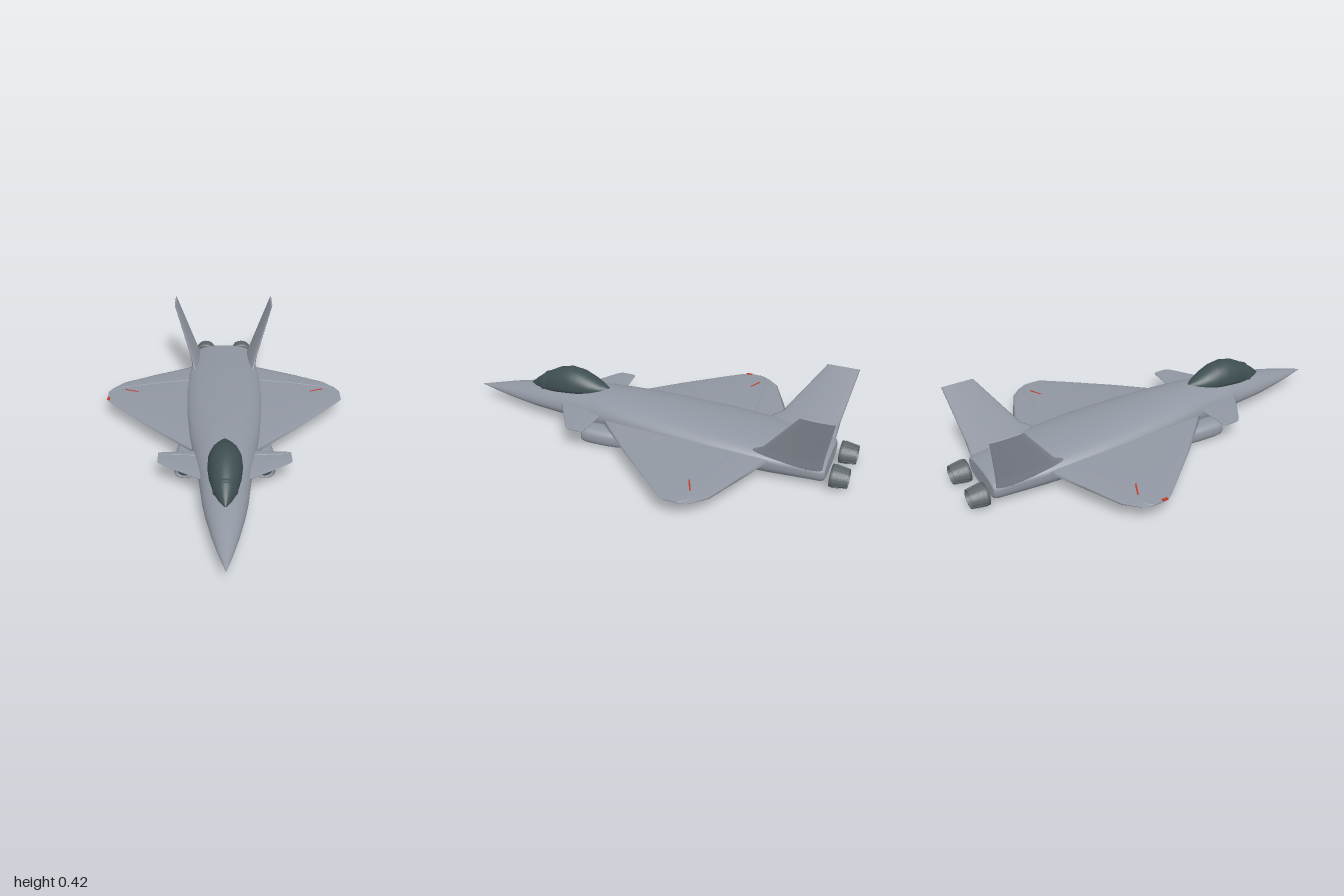
import * as THREE from 'three';

const paint = (name, color, side = THREE.FrontSide) => {
  const m = new THREE.MeshStandardMaterial({ color, side });
  m.name = name;
  return m;
};
const grey = paint('hull grey', 0x9197a2);
const glass = paint('canopy glass', 0x3f4f53);
const metal = paint('nozzle metal', 0x60686d, THREE.DoubleSide);
const red = paint('signal red', 0xc0392b);

const lerp = THREE.MathUtils.lerp;
const V = (x, y, z) => new THREE.Vector3(x, y, z);

function toGeometry(pos, idx) {
  const g = new THREE.BufferGeometry();
  g.setAttribute('position', new THREE.Float32BufferAttribute(pos, 3));
  g.setIndex(idx);
  g.computeVertexNormals();
  return g;
}

// Skin over closed rings of equal length, with flat end caps
function loft(rings, flip = false) {
  const n = rings[0].length, pos = [], idx = [];
  const tri = (a, b, c) => (flip ? idx.push(a, c, b) : idx.push(a, b, c));
  rings.forEach(r => r.forEach(p => pos.push(p.x, p.y, p.z)));
  for (let i = 0; i < rings.length - 1; i++) {
    for (let j = 0; j < n; j++) {
      const a = i * n + j, b = i * n + (j + 1) % n;
      tri(a, a + n, b);
      tri(b, a + n, b + n);
    }
  }
  [rings[0], rings[rings.length - 1]].forEach((r, end) => {
    const base = pos.length / 3, c = V(0, 0, 0);
    r.forEach(p => { pos.push(p.x, p.y, p.z); c.addScaledVector(p, 1 / n); });
    pos.push(c.x, c.y, c.z);
    for (let j = 0; j < n; j++) {
      const a = base + j, b = base + (j + 1) % n;
      end ? tri(base + n, b, a) : tri(base + n, a, b);
    }
  });
  return toGeometry(pos, idx);
}

// Superellipse ring facing along z, with separate top and bottom heights
function ring(z, cx, w, waist, top, bottom, eTop = 2, eLow = 2, n = 40) {
  return Array.from({ length: n }, (_, j) => {
    const a = (j / n) * Math.PI * 2, c = Math.cos(a), s = Math.sin(a);
    const k = 2 / (s >= 0 ? eTop : eLow);
    const h = s >= 0 ? top - waist : waist - bottom;
    return V(cx + w * Math.sign(c) * Math.abs(c) ** k, waist + h * Math.sign(s) * Math.abs(s) ** k, z);
  });
}

// Flying surface: stations are [x, y, zFront, zBack, halfThickness]; face picks the hinged side
function surface(name, stations, normal, side, face) {
  const group = new THREE.Group();
  group.name = name;
  const point = (s, a, lift = 0) => {
    const [x, y, zf, zb, t] = s, o = t * Math.sin(a) + Math.sign(Math.sin(a)) * lift;
    return V(side * (x + normal[0] * o), y + normal[1] * o, (zf + zb) / 2 + (zf - zb) / 2 * Math.cos(a));
  };
  const rings = stations.map(s => Array.from({ length: 20 }, (_, j) => point(s, j / 20 * Math.PI * 2)));
  add(group, name + 'Skin', loft(rings, side < 0), grey);

  // Hinge ridge of the control surface
  const pos = [], idx = [];
  stations.forEach((s, i) => {
    for (const d of [-0.004, 0, 0.004]) {
      const f = 0.79 + d / (s[2] - s[3]);
      pos.push(...point(s, face * Math.acos(1 - 2 * f), d ? 0 : 0.003).toArray());
    }
    for (const k of i ? [3 * i, 3 * i + 1] : []) {
      const [a, b, c, d] = [k - 3, k - 2, k, k + 1];
      side * face > 0 ? idx.push(a, c, b, c, d, b) : idx.push(a, b, c, c, b, d);
    }
  });
  add(group, name + 'Hinge', toGeometry(pos, idx), grey);
  return group;
}

function add(parent, name, geometry, material, x = 0, y = 0, z = 0) {
  const m = new THREE.Mesh(geometry, material);
  m.name = name;
  m.position.set(x, y, z);
  parent.add(m);
  return m;
}

export function createModel() {
  const jet = new THREE.Group();
  jet.name = 'jet';

  // Fuselage: [z, halfWidth, waist, top, bottom]
  const body = [
    [1, 0.001, 0.075, 0.076, 0.074], [0.9, 0.033, 0.08, 0.101, 0.066], [0.8, 0.06, 0.085, 0.127, 0.057],
    [0.68, 0.087, 0.09, 0.153, 0.048], [0.6, 0.101, 0.094, 0.167, 0.043], [0.45, 0.118, 0.1, 0.188, 0.036],
    [0.25, 0.148, 0.108, 0.207, 0.025], [0.1, 0.171, 0.112, 0.205, 0.012], [-0.1, 0.19, 0.116, 0.198, 0.006],
    [-0.35, 0.2, 0.115, 0.184, 0.004], [-0.55, 0.196, 0.108, 0.168, 0.005], [-0.65, 0.187, 0.1, 0.152, 0.006],
    [-0.78, 0.169, 0.09, 0.136, 0.008], [-0.875, 0.157, 0.08, 0.128, 0.011], [-0.89, 0.152, 0.078, 0.125, 0.016],
    [-0.896, 0.142, 0.075, 0.118, 0.025],
  ];
  add(jet, 'fuselage', loft(body.map(([z, w, m, t, b]) => {
    const aft = THREE.MathUtils.clamp((0.45 - z) / 0.5, 0, 1);
    const tail = THREE.MathUtils.clamp((-0.5 - z) / 0.3, 0, 1);
    return ring(z, 0, w, m, t, b, lerp(2, 2.5, tail), lerp(2, 2.7, aft));
  })), grey);

  // Canopy: [z, halfWidth, waist, top], with a stepped windshield edge
  const dome = [
    [0.685, 0.006, 0.146, 0.156], [0.65, 0.029, 0.153, 0.188], [0.6, 0.052, 0.162, 0.227], [0.52, 0.073, 0.18, 0.27],
    [0.455, 0.08, 0.19, 0.286], [0.39, 0.077, 0.195, 0.277], [0.33, 0.062, 0.197, 0.252], [0.28, 0.041, 0.197, 0.227],
    [0.24, 0.012, 0.197, 0.208],
  ];
  add(jet, 'canopy', loft(dome.map(([z, w, m, t]) => ring(z, 0, w, m, t, m - 0.04))), glass);
  add(jet, 'windshieldEdge', loft([
    ring(0.605, 0, 0.051, 0.162, 0.226, 0.12), ring(0.604, 0, 0.0535, 0.162, 0.2285, 0.12),
    ring(0.596, 0, 0.056, 0.164, 0.2315, 0.12), ring(0.585, 0, 0.056, 0.165, 0.233, 0.12),
  ]), glass);

  for (const side of [1, -1]) {
    const label = side > 0 ? 'left' : 'right';

    // Wing, canard and canted tail fin
    jet.add(surface(label + 'Wing', [
      [0.12, 0.11, 0.24, -0.66, 0.021], [0.2, 0.11, 0.165, -0.64, 0.019], [0.37, 0.107, -0.01, -0.568, 0.013],
      [0.545, 0.102, -0.205, -0.487, 0.007], [0.6, 0.1, -0.268, -0.43, 0.005], [0.622, 0.1, -0.3, -0.39, 0.003],
    ], [0, 1], side, 1));
    jet.add(surface(label + 'Canard', [
      [0.08, 0.128, 0.475, 0.215, 0.009], [0.13, 0.128, 0.445, 0.222, 0.008],
      [0.295, 0.128, 0.338, 0.235, 0.005], [0.315, 0.128, 0.318, 0.24, 0.003],
    ], [0, 1], side, 1));
    jet.add(surface(label + 'TailFin', [
      [0.147, 0.1, -0.54, -0.885, 0.02], [0.166, 0.15, -0.565, -0.89, 0.017],
      [0.176, 0.178, -0.612, -0.893, 0.014], [0.272, 0.42, -0.785, -0.937, 0.005],
    ], [-0.93, 0.37], side, -1));

    // Engine intake pod, recessed mouth, tail blending into the hull: [z, scale, centre x]
    const pod = [
      [0.268, 0.76, 0.19], [0.284, 0.8, 0.19], [0.287, 0.86, 0.19], [0.278, 0.94, 0.19], [0.25, 1, 0.19],
      [0.16, 1, 0.187], [0.1, 0.98, 0.18], [0.06, 0.92, 0.172], [0.035, 0.8, 0.163], [0.022, 0.6, 0.155],
    ];
    add(jet, label + 'Intake', loft(pod.map(([z, s, x]) =>
      ring(z, side * x, 0.054 * s, 0.053, 0.053 + 0.045 * s, 0.053 - 0.045 * s, 2.5, 2.5))), grey);
    add(jet, label + 'IntakeMouth', new THREE.CircleGeometry(0.036, 28), glass, side * 0.19, 0.055, 0.275);

    // Exhaust nozzle with petals
    const nozzle = new THREE.Group();
    nozzle.name = label + 'Nozzle';
    nozzle.position.set(side * 0.106, 0.06, 0);
    nozzle.scale.x = 1.15;
    const shell = new THREE.LatheGeometry(
      [[0, 0.93], [0.04, 0.925], [0.051, 0.92], [0.052, 0.935], [0.042, 1], [0.038, 1], [0.034, 0.945], [0, 0.94]]
        .map(p => new THREE.Vector2(...p)), 24);
    shell.rotateX(-Math.PI / 2);
    add(nozzle, 'nozzleShell', shell, metal);
    for (let i = 0; i < 16; i++) {
      const petal = new THREE.BoxGeometry(0.004, 0.004, 0.066);
      petal.rotateX(-0.15);
      petal.translate(0, 0.047, -0.967);
      petal.rotateZ(i / 16 * Math.PI * 2);
      add(nozzle, 'petalRib', petal, metal);
    }
    jet.add(nozzle);

    // Red wing dash
    const dash = add(jet, label + 'WingDash', new THREE.BoxGeometry(0.075, 0.005, 0.007), red, side * 0.497, 0.1105, -0.38);
    dash.rotation.set(0, side * 0.41, -side * 0.04);
  }

  // Right wingtip light and chin sensor
  add(jet, 'wingtipLight', new THREE.BoxGeometry(0.014, 0.005, 0.028), red, -0.615, 0.1025, -0.312);
  const chin = add(jet, 'chinSensor', new THREE.SphereGeometry(0.017, 16, 10), red, 0, 0.0455, 0.632);
  chin.scale.set(0.8, 0.22, 1);
  chin.rotation.x = -0.06;

  return jet;
}
